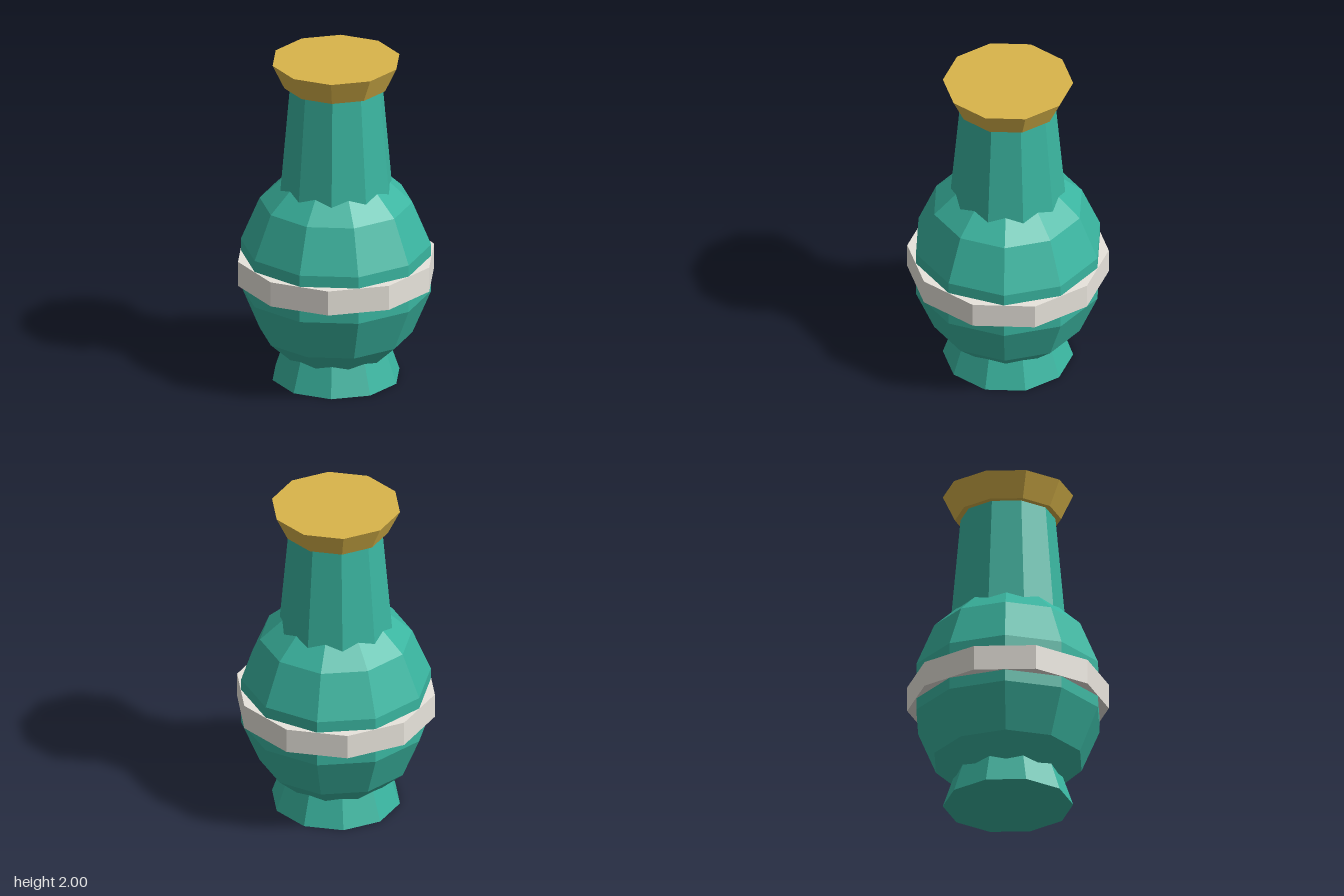
import * as THREE from 'three';

const SIDES = 10;

function material(color) {
  return new THREE.MeshStandardMaterial({ color, flatShading: true });
}

export function createModel() {
  const group = new THREE.Group();
  const teal = material(0x3ab5a0);
  const gold = material(0xd9b44a);
  const ivory = material(0xe8e4dc);

  // Ten-sided tapered section between two heights
  function section(name, bottomY, topY, bottomRadius, topRadius, mat) {
    const geometry = new THREE.CylinderGeometry(topRadius, bottomRadius, topY - bottomY, SIDES);
    const mesh = new THREE.Mesh(geometry, mat);
    mesh.name = name;
    mesh.position.y = (bottomY + topY) / 2;
    group.add(mesh);
  }

  section('foot', 0, 0.22, 0.383, 0.308, teal);
  section('neck', 1.1, 1.86, 0.345, 0.278, teal);
  section('rim', 1.85, 2, 0.312, 0.383, gold);
  section('band', 0.62, 0.773, 0.592, 0.592, ivory);

  // Faceted belly, stretched upwards
  const belly = new THREE.Mesh(new THREE.SphereGeometry(0.575, SIDES, 7), teal);
  belly.name = 'belly';
  belly.scale.y = 1.155;
  belly.position.y = 0.696;
  group.add(belly);

  return group;
}
